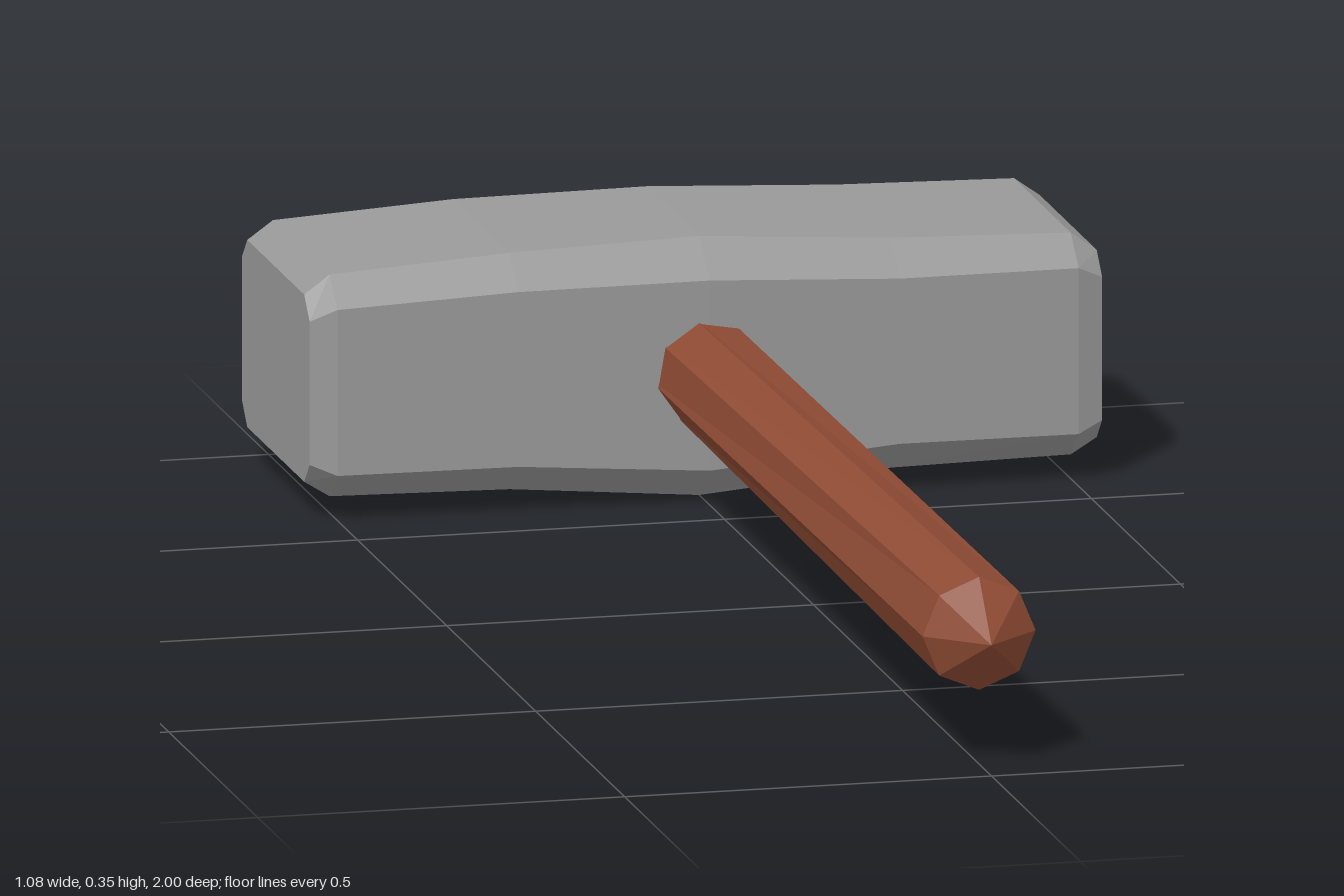
import * as THREE from 'three';

// Faceted copy with one normal per face
function faceted(geometry) {
  const g = geometry.index ? geometry.toNonIndexed() : geometry;
  g.computeVertexNormals();
  return g;
}

// Chamfered cross-section, counter-clockwise seen from +x
function section({ x, top, bottom, front, back, cy, cz }) {
  return [
    [front - cz, top], [front, top - cy], [front, bottom + cy], [front - cz, bottom],
    [back + cz, bottom], [back, bottom + cy], [back, top - cy], [back + cz, top],
  ].reverse().map(([z, y]) => new THREE.Vector3(x, y, z)).reverse();
}

// Loft through the sections, closed by flat ends
function loft(rings) {
  const out = [];
  const tri = (...v) => v.forEach((p) => out.push(p.x, p.y, p.z));
  const n = rings[0].length;
  const last = rings[rings.length - 1];
  for (let j = 0; j < n; j++) {
    const k = (j + 1) % n;
    for (let i = 0; i < rings.length - 1; i++) {
      const a = rings[i], b = rings[i + 1];
      tri(a[j], a[k], b[j]);
      tri(a[k], b[k], b[j]);
    }
    if (j > 0 && j < n - 1) {
      tri(last[0], last[j], last[k]);
      tri(rings[0][0], rings[0][k], rings[0][j]);
    }
  }
  const g = new THREE.BufferGeometry();
  g.setAttribute('position', new THREE.Float32BufferAttribute(out, 3));
  return g;
}

export function createModel() {
  const stone = new THREE.MeshStandardMaterial({ color: 0x999999 });
  stone.name = 'grey stone';
  const wood = new THREE.MeshStandardMaterial({ color: 0x8f4b34 });
  wood.name = 'red-brown wood';

  const group = new THREE.Group();
  group.name = 'hammer';

  // Head: x, top, bottom, front, back, chamfer height, chamfer depth
  const stations = [
    [-0.54, 0.305, 0.05, -0.605, -0.985, 0.03, 0.03],
    [-0.505, 0.33, 0.028, -0.592, -1.0, 0.038, 0.045],
    [-0.26, 0.346, 0.024, -0.586, -1.0, 0.042, 0.05],
    [0, 0.353, 0, -0.582, -0.992, 0.047, 0.06],
    [0.26, 0.337, 0.024, -0.586, -0.997, 0.044, 0.05],
    [0.505, 0.33, 0.028, -0.592, -1.0, 0.038, 0.045],
    [0.54, 0.305, 0.05, -0.605, -0.985, 0.03, 0.03],
  ];
  const rings = stations.map(([x, top, bottom, front, back, cy, cz]) =>
    section({ x, top, bottom, front, back, cy, cz }));
  const head = new THREE.Mesh(faceted(loft(rings)), stone);
  head.name = 'hammerHead';
  group.add(head);

  // Handle: eight-sided shaft with a pointed end, slightly twisted toward the head
  const profile = [[0, -0.7], [0.072, -0.7], [0.077, 0.93], [0, 1]]
    .map(([r, h]) => new THREE.Vector2(r, h));
  const shaft = new THREE.LatheGeometry(profile, 8);
  shaft.rotateX(Math.PI / 2);
  const pos = shaft.attributes.position;
  const p = new THREE.Vector3();
  const axis = new THREE.Vector3(0, 0, 1);
  for (let i = 0; i < pos.count; i++) {
    p.fromBufferAttribute(pos, i);
    p.applyAxisAngle(axis, 0.22 * Math.max(0, 0.93 - p.z) / 1.63);
    pos.setXYZ(i, p.x, p.y, p.z);
  }
  const handle = new THREE.Mesh(faceted(shaft), wood);
  handle.name = 'handle';
  handle.position.y = 0.178;
  group.add(handle);

  return group;
}
